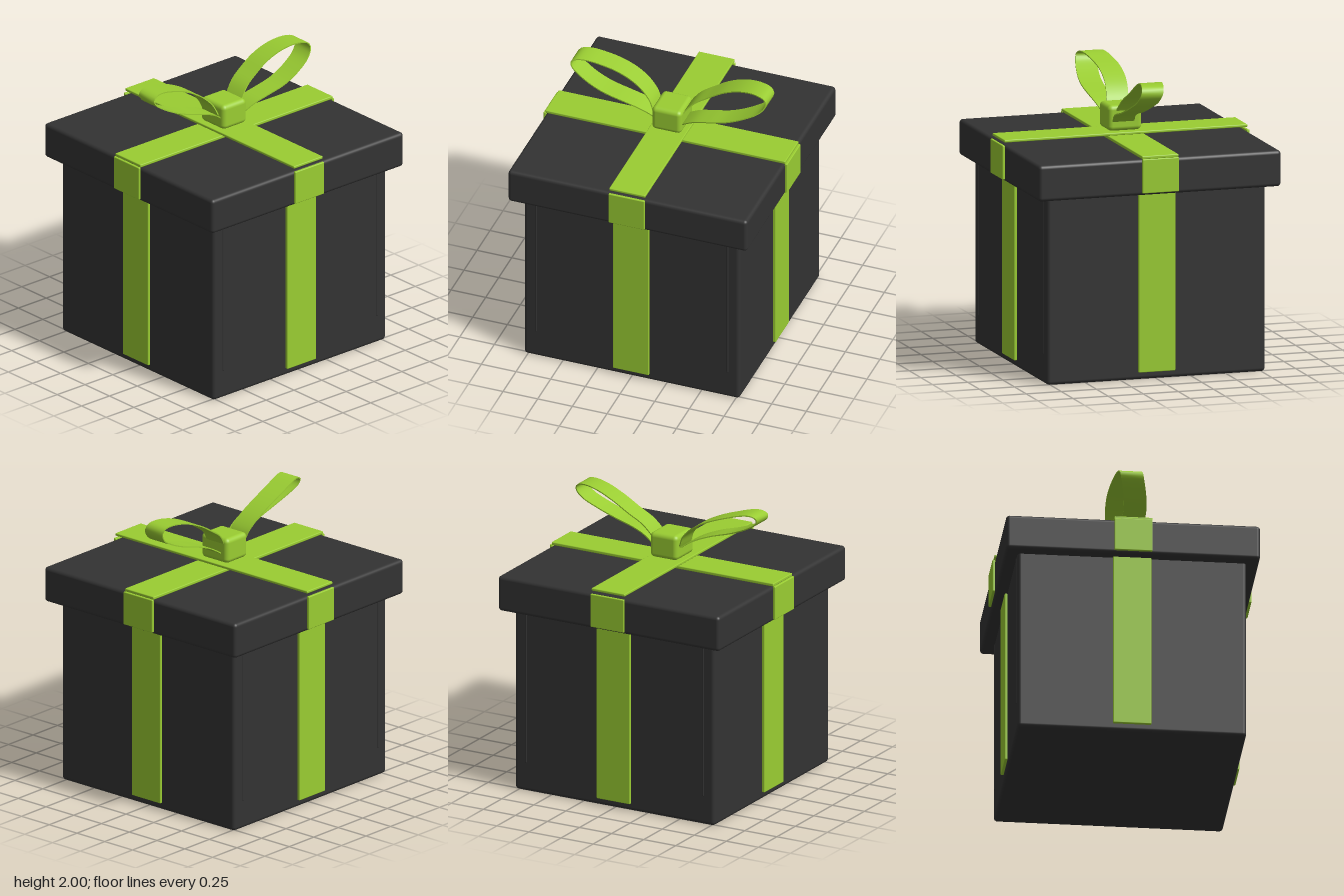
import * as THREE from 'three';
import { RoundedBoxGeometry } from 'three/addons/geometries/RoundedBoxGeometry.js';

const cardboard = new THREE.MeshStandardMaterial({ color: 0x333333 });
cardboard.name = 'charcoal card';
const satin = new THREE.MeshStandardMaterial({ color: 0x9acd32 });
satin.name = 'lime ribbon';

// Rounded box given by its size, centre and bottom height
function block(name, material, [w, h, d], [x, bottom, z], radius) {
  const mesh = new THREE.Mesh(new RoundedBoxGeometry(w, h, d, 3, radius), material);
  mesh.name = name;
  mesh.position.set(x, bottom + h / 2, z);
  return mesh;
}

// Ribbon loop: a flat strip bent along a profile and skewed in depth
function bowLoop(name, points) {
  const curve = new THREE.CatmullRomCurve3(points.map(([x, y]) => new THREE.Vector3(x, y, 0)));
  const geometry = new THREE.BoxGeometry(1, 0.008, 0.155, 72, 1, 1);
  const pos = geometry.attributes.position;
  for (let i = 0; i < pos.count; i++) {
    const t = THREE.MathUtils.clamp(pos.getX(i) + 0.5, 0, 1);
    const p = curve.getPointAt(t);
    const tangent = curve.getTangentAt(t);
    const offset = pos.getY(i);
    const skew = -0.055 * Math.sin(2 * Math.PI * t);
    pos.setXYZ(i, p.x - tangent.y * offset, p.y + tangent.x * offset, pos.getZ(i) + skew);
  }
  geometry.computeVertexNormals();
  const mesh = new THREE.Mesh(geometry, satin);
  mesh.name = name;
  return mesh;
}

export function createModel() {
  const gift = new THREE.Group();
  gift.name = 'giftBox';

  // Box and lid
  gift.add(block('boxBody', cardboard, [1.555, 1.4, 1.555], [0, 0, 0], 0.025));
  gift.add(block('lid', cardboard, [1.725, 0.248, 1.725], [0, 1.284, 0], 0.025));

  // Fine raised seams on the front and back
  for (const x of [-0.69, 0.69]) {
    for (const z of [-0.774, 0.774]) {
      gift.add(block('seam', cardboard, [0.016, 1.12, 0.016], [x, 0.2, z], 0.007));
    }
  }

  // Ribbon down each of the four sides
  for (let i = 0; i < 4; i++) {
    const side = new THREE.Group();
    side.name = 'sideRibbon';
    side.add(block('bodyRibbon', satin, [0.26, 1.24, 0.024], [0, 0.05, 0.785], 0.006));
    side.add(block('lidRibbon', satin, [0.26, 0.235, 0.02], [0, 1.3, 0.87], 0.006));
    side.rotation.y = i * Math.PI / 2;
    gift.add(side);
  }

  // Crossed ribbons on the lid
  gift.add(block('topRibbonAcross', satin, [1.73, 0.022, 0.26], [0, 1.533, 0], 0.006));
  gift.add(block('topRibbonAlong', satin, [0.26, 0.019, 1.73], [0, 1.554, 0], 0.006));

  // Bow
  const bow = new THREE.Group();
  bow.name = 'bow';
  bow.add(block('knot', satin, [0.215, 0.177, 0.24], [0, 1.578, -0.003], 0.032));
  bow.add(bowLoop('leftLoop', [
    [0.07, 1.66], [0.11, 1.73], [0.17, 1.80], [0.27, 1.865], [0.38, 1.93], [0.51, 1.98],
    [0.62, 1.995], [0.69, 1.98], [0.707, 1.945], [0.67, 1.887], [0.565, 1.825],
    [0.43, 1.77], [0.30, 1.735], [0.195, 1.70], [0.11, 1.65], [0.07, 1.62],
  ]));
  bow.add(bowLoop('rightLoop', [
    [-0.09, 1.64], [-0.113, 1.69], [-0.14, 1.75], [-0.20, 1.815], [-0.28, 1.87], [-0.386, 1.92],
    [-0.49, 1.955], [-0.60, 1.983], [-0.665, 1.983], [-0.698, 1.96], [-0.687, 1.928],
    [-0.60, 1.87], [-0.465, 1.812], [-0.31, 1.765], [-0.20, 1.722], [-0.113, 1.67], [-0.08, 1.64],
  ]));
  gift.add(bow);

  return gift;
}
